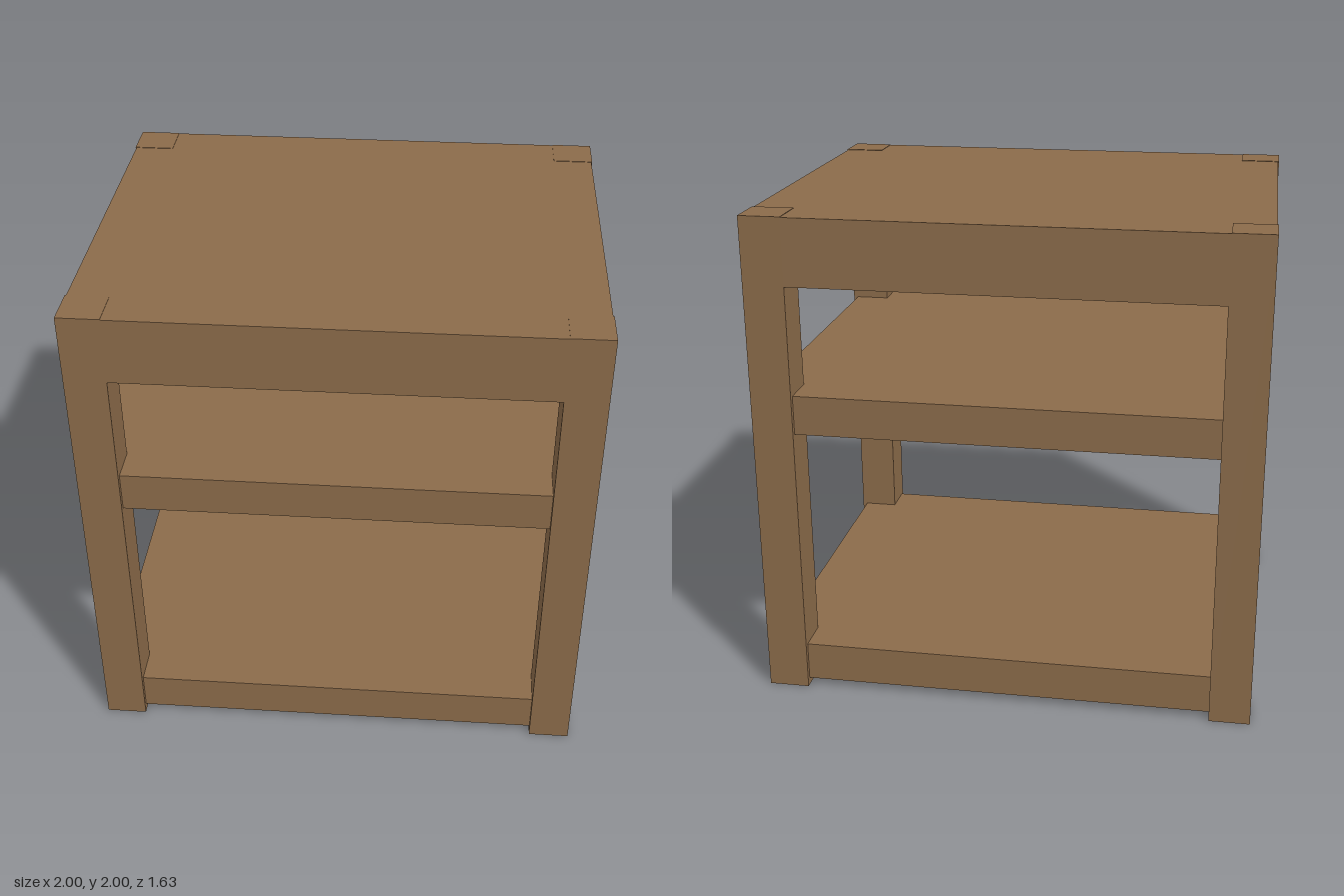
import * as THREE from 'three';

const HALF_X = 1, HALF_Z = 0.815, LEG = 0.165, BOARD = 0.08;

export function createModel() {
  const model = new THREE.Group();
  model.name = 'sideTable';
  const wood = new THREE.MeshStandardMaterial({ color: 0x8b6b4a });
  wood.name = 'brown wood';

  function box(name, parent, w, h, d, x, y, z) {
    const mesh = new THREE.Mesh(new THREE.BoxGeometry(w, h, d), wood);
    mesh.name = name;
    mesh.position.set(x, y, z);
    parent.add(mesh);
    return mesh;
  }

  // Four square legs at full height
  for (const sx of [-1, 1]) {
    for (const sz of [-1, 1]) {
      const name = (sz > 0 ? 'front' : 'back') + (sx > 0 ? 'Left' : 'Right') + 'Leg';
      box(name, model, LEG, 2, LEG, sx * (HALF_X - LEG / 2), 1, sz * (HALF_Z - LEG / 2));
    }
  }

  // A tier is four rails between the legs around a recessed panel
  function tier(name, bottom, top, inset, sideInset) {
    const group = new THREE.Group();
    group.name = name;
    model.add(group);
    const h = top - bottom, y = (top + bottom) / 2;
    const spanX = 2 * (HALF_X - LEG), spanZ = 2 * (HALF_Z - LEG);
    const railZ = HALF_Z - inset - BOARD / 2;
    const railX = HALF_X - sideInset - BOARD / 2;
    box('frontRail', group, spanX, h, BOARD, 0, y, railZ);
    box('backRail', group, spanX, h, BOARD, 0, y, -railZ);
    box('leftRail', group, BOARD, h, spanZ, railX, y, 0);
    box('rightRail', group, BOARD, h, spanZ, -railX, y, 0);
    // Panel sits flush with the rail tops
    box('panel', group, 2 * railX - BOARD, BOARD, 2 * railZ - BOARD, 0, top - BOARD / 2, 0);
  }

  tier('tableTop', 1.73, 1.998, 0, 0.004);
  tier('middleShelf', 1.125, 1.285, 0.02, 0.02);
  tier('lowerShelf', 0.03, 0.19, 0.02, 0.02);

  return model;
}
